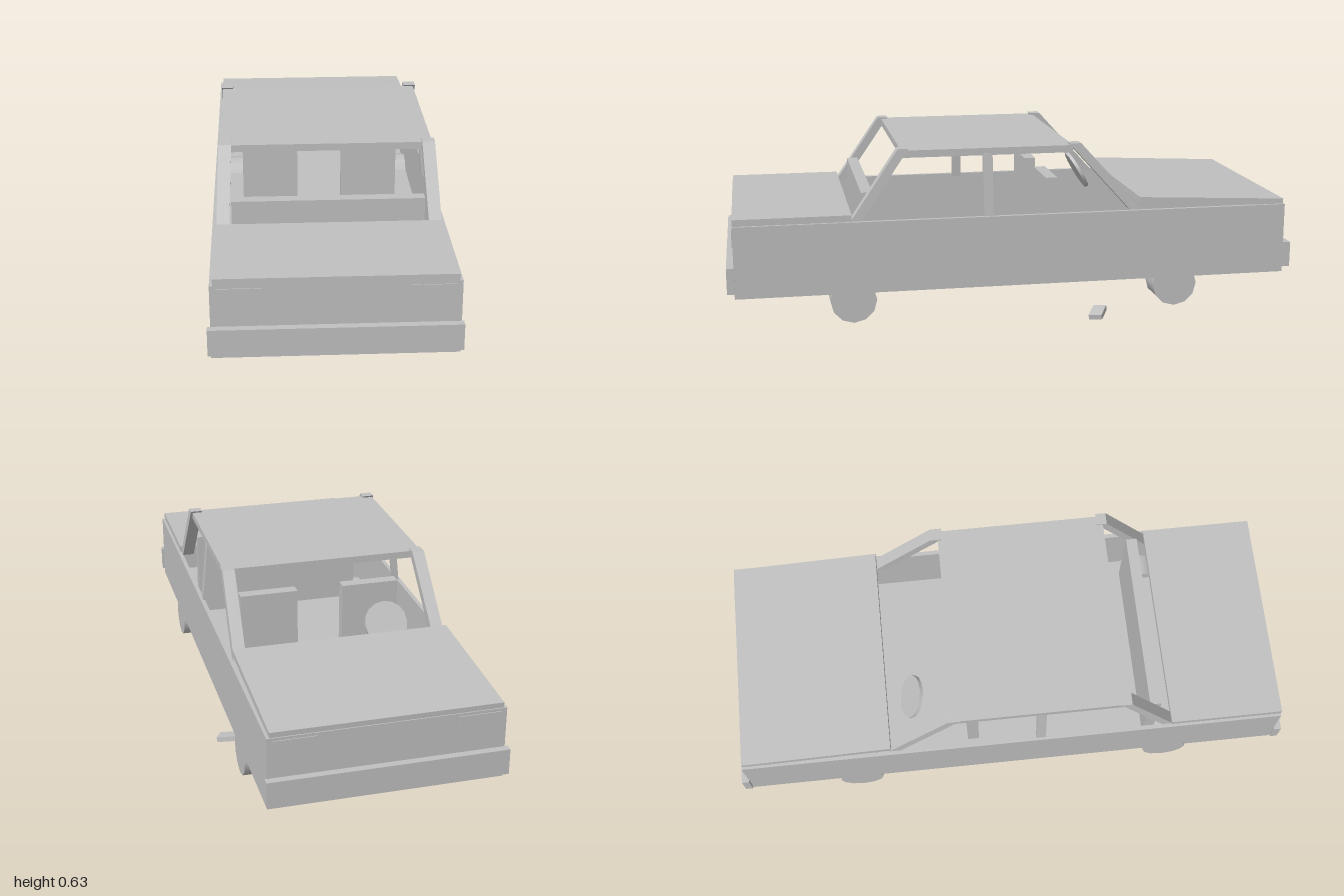
import * as THREE from 'three';

export function createModel() {
  const model = new THREE.Group();
  const grey = new THREE.MeshStandardMaterial({ color: 0xc0c0c0 });
  grey.name = 'plain grey';

  const add = (name, geometry) => {
    const mesh = new THREE.Mesh(geometry, grey);
    mesh.name = name;
    model.add(mesh);
    return mesh;
  };
  // Box given by its limits on each axis
  const box = (name, x0, x1, y0, y1, z0, z1) => {
    const mesh = add(name, new THREE.BoxGeometry(x1 - x0, y1 - y0, z1 - z0));
    mesh.position.set((x0 + x1) / 2, (y0 + y1) / 2, (z0 + z1) / 2);
    return mesh;
  };
  // Four-sided bar with horizontal ends: w along x, d along z
  const slantedBar = (name, bottom, top, w, d) => {
    const g = new THREE.BoxGeometry(w, 1, d);
    const p = g.attributes.position;
    for (let i = 0; i < p.count; i++) {
      const end = p.getY(i) < 0 ? bottom : top;
      p.setXYZ(i, p.getX(i) + end[0], end[1], p.getZ(i) + end[2]);
    }
    g.computeVertexNormals();
    return add(name, g);
  };
  const cx = -0.01; // middle line of the car

  // Open body tub
  box('floor', -0.4, 0.38, 0.14, 0.155, -0.975, 0.975);
  for (const s of [-1, 1]) {
    const outer = cx + s * 0.39, inner = cx + s * 0.375;
    box('sideWall', Math.min(outer, inner), Math.max(outer, inner), 0.14, 0.39, -0.975, 0.975);
    box('endWall', -0.385, 0.365, 0.14, 0.39, s * 0.9675 - 0.0075, s * 0.9675 + 0.0075);
    box('bumper', -0.41, 0.387, 0.16, 0.25, s * 0.987 - 0.013, s * 0.987 + 0.013);
    for (const t of [-1, 1]) {
      const x = cx + t * 0.3;
      box('lamp', x - 0.07, x + 0.07, 0.315, 0.38, s * 0.976 - 0.002, s * 0.976 + 0.002);
    }
  }

  // Flat lid and slightly raised lid
  box('flatLid', -0.39, 0.37, 0.388, 0.413, 0.575, 0.975);
  const lid = box('raisedLid', -0.39, 0.37, 0.405, 0.428, -0.972, -0.438);
  lid.rotation.x = -0.05;
  lid.position.y = 0.41;
  lid.rotation.x = 0.05 * -1;

  // Roof and pillars
  box('roof', -0.372, 0.348, 0.6, 0.625, -0.2, 0.4);
  for (const s of [-1, 1]) {
    const low = cx + s * 0.355, high = cx + s * 0.344;
    slantedBar('frontPillar', [low, 0.39, 0.56], [high, 0.632, 0.395], 0.043, 0.037);
    slantedBar('backPillar', [low, 0.39, -0.425], [high, 0.632, -0.205], 0.043, 0.042);
    slantedBar('middlePillar', [cx + s * 0.372, 0.38, 0.102], [cx + s * 0.35, 0.605, 0.102], 0.02, 0.033);
  }

  // Seats and steering wheel
  box('benchSeat', -0.335, 0.312, 0.155, 0.477, 0.497, 0.537);
  box('seatBack', -0.302, -0.095, 0.155, 0.498, -0.16, -0.118);
  box('seatBack', 0.072, 0.28, 0.155, 0.498, -0.16, -0.118);
  const wheel = add('steeringWheel', new THREE.CylinderGeometry(0.077, 0.077, 0.012, 16));
  wheel.position.set(-0.2, 0.425, -0.348);
  wheel.rotation.x = -1.05;

  // Road wheels and axles
  for (const z of [-0.57, 0.575]) {
    for (const s of [-1, 1]) {
      const tyre = add('roadWheel', new THREE.CylinderGeometry(0.08, 0.08, 0.095, 12));
      tyre.rotation.z = Math.PI / 2;
      tyre.position.set(cx + s * 0.3425, 0.115, z);
    }
    box('axle', -0.27, 0.25, 0.09, 0.145, z - 0.025, z + 0.025);
  }

  // Underside boxes, drive shaft and exhaust
  box('underBox', -0.1, 0.075, 0.1, 0.145, 0.62, 0.84);
  box('underBox', -0.1, 0.075, 0.1, 0.145, -0.84, -0.62);
  box('driveShaft', -0.03, 0.01, 0.104, 0.13, -0.62, 0.62);
  const pipe = add('exhaustPipe', new THREE.CylinderGeometry(0.014, 0.014, 1.36, 12));
  pipe.rotation.x = Math.PI / 2;
  pipe.position.set(0.145, 0.118, 0);

  // Loose pieces on the ground
  box('loosePiece', -0.37, -0.335, 0.008, 0.025, 0.535, 0.585).rotation.x = -0.08;
  box('loosePiece', -0.235, -0.165, 0.008, 0.04, -0.455, -0.345);
  const tilted = box('loosePiece', 0.323, 0.4, 0.008, 0.026, -0.317, -0.27);
  tilted.rotation.set(0.1, -0.5, -0.15);

  return model;
}
